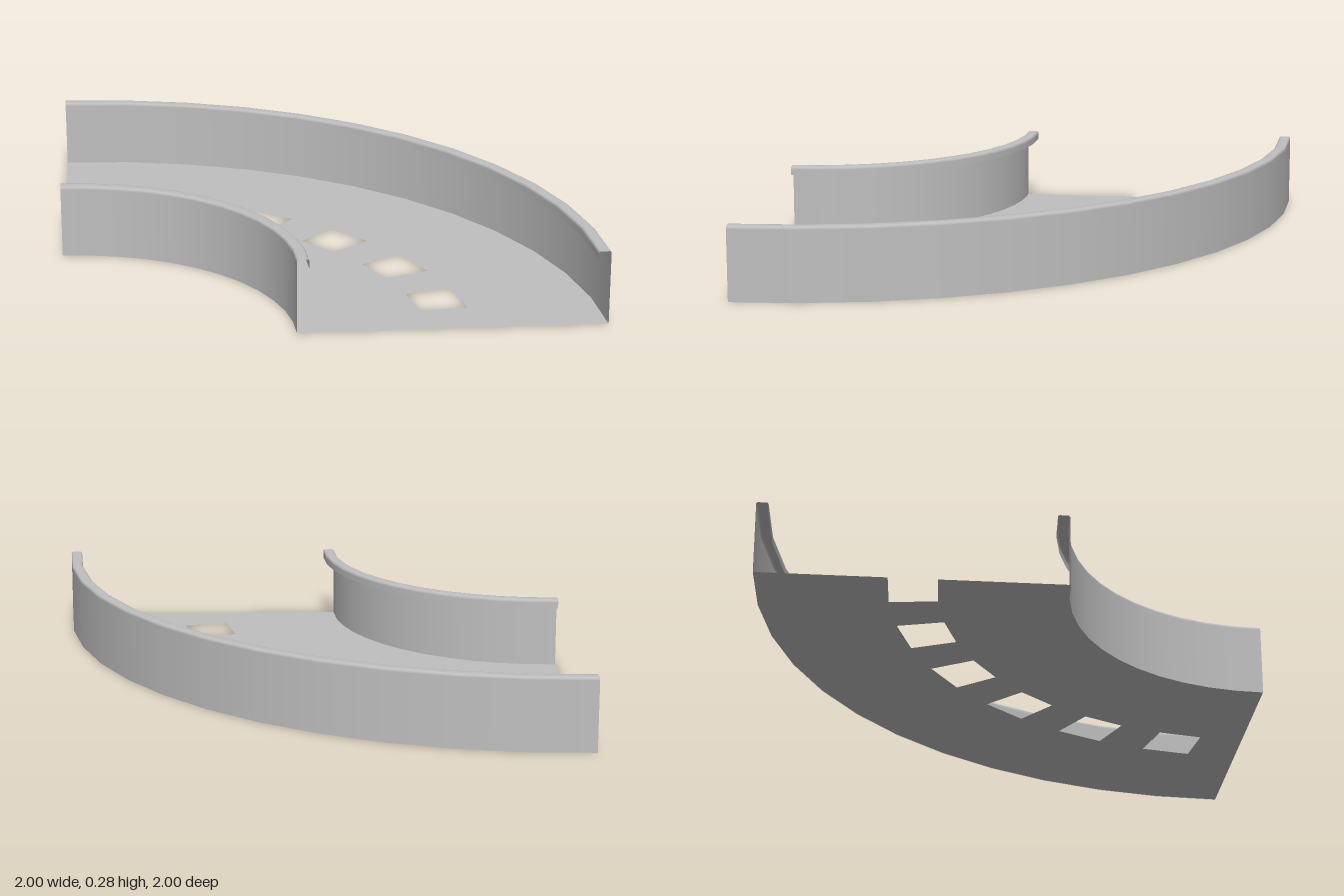
import * as THREE from 'three';

const SEGMENTS = 12;              // facets in the quarter bend
const STEP = Math.PI / 2 / SEGMENTS;
const INNER = 0.86, OUTER = 2, HEIGHT = 0.285;
const SLOT_IN = 1.34, SLOT_OUT = 1.52;

export function createModel() {
  const model = new THREE.Group();
  model.name = 'curvedTray';
  const metal = new THREE.MeshStandardMaterial({ color: 0xbfbfbf, side: THREE.DoubleSide });
  metal.name = 'galvanised grey';

  // Sweeps a [radius, height] profile around the bend centre
  function sweep(name, profile, first = 0, count = SEGMENTS) {
    const points = profile.map(([r, y]) => new THREE.Vector2(r, y));
    const geometry = new THREE.LatheGeometry(points, count, Math.PI / 2 + first * STEP, count * STEP);
    const mesh = new THREE.Mesh(geometry, metal);
    mesh.name = name;
    mesh.position.set(-1, 0, 1);
    model.add(mesh);
  }

  // Side wall with its top edge folded over the tray and turned down
  function wall(name, radius, dir) {
    const r = (d) => radius + dir * d;
    sweep(name, [
      [r(0), 0], [r(0), HEIGHT - 0.012], [r(0), HEIGHT - 0.005],
      [r(0.005), HEIGHT], [r(0.012), HEIGHT], [r(0.033), HEIGHT], [r(0.04), HEIGHT],
      [r(0.045), HEIGHT - 0.005], [r(0.045), HEIGHT - 0.012], [r(0.045), 0.25],
    ]);
  }
  wall('outerWall', OUTER, -1);
  wall('innerWall', INNER, 1);

  // Sheet floor: two full bands joined by bridges, leaving a slot in every other facet
  const y = 0.002;
  sweep('floorOuterBand', [[OUTER, y], [SLOT_OUT, y]]);
  sweep('floorInnerBand', [[SLOT_IN, y], [INNER, y]]);
  for (let i = 0; i < SEGMENTS; i += 2) {
    sweep('floorBridge', [[SLOT_OUT, y], [SLOT_IN, y]], i, 1);
  }

  return model;
}
